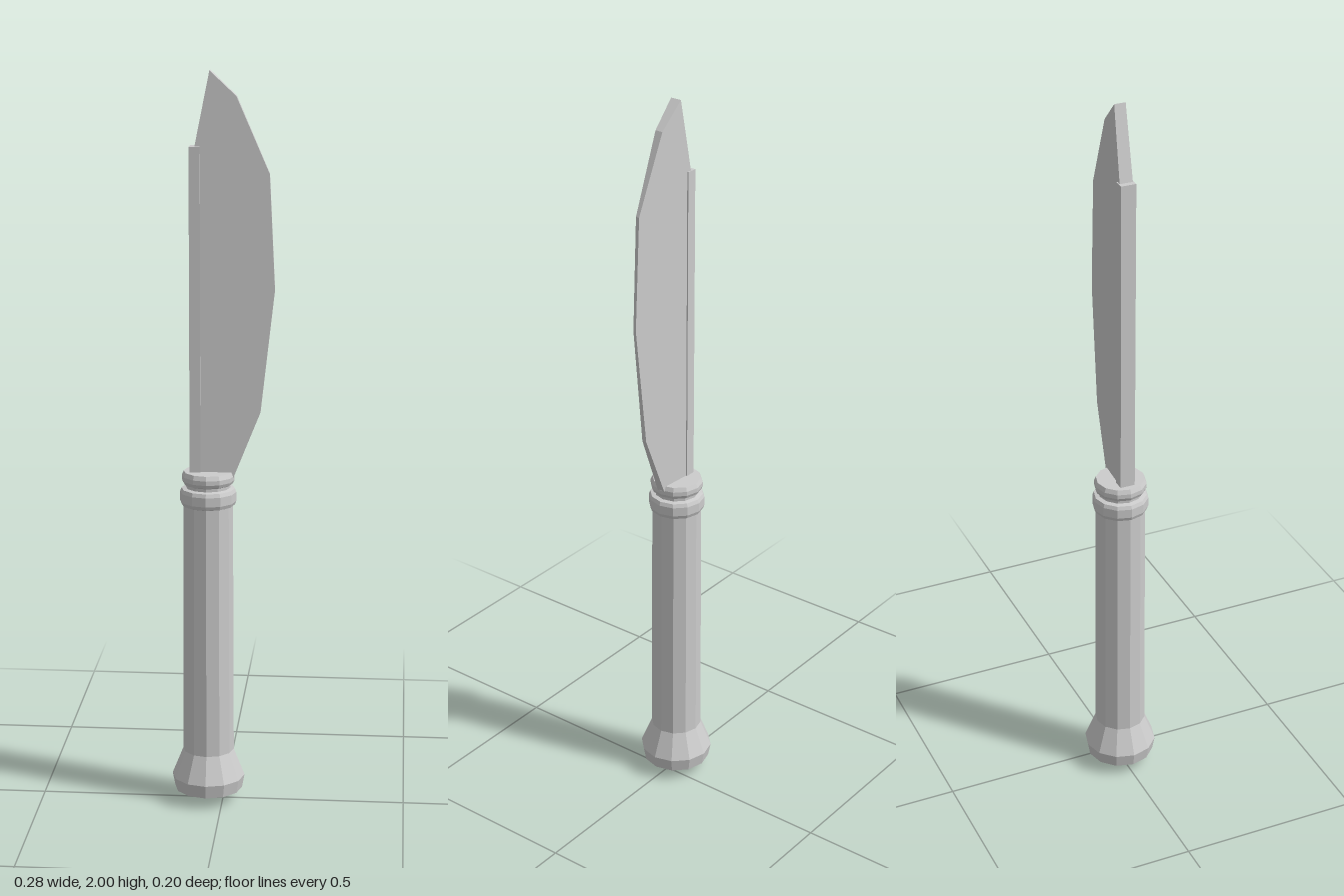
import * as THREE from 'three';

export function createModel() {
  const group = new THREE.Group();
  group.name = 'tableKnife';
  const steel = new THREE.MeshStandardMaterial({ color: 0xcccccc, flatShading: true });
  steel.name = 'steel';
  const axisX = -0.04;

  const add = (name, geometry, x = 0, y = 0) => {
    const mesh = new THREE.Mesh(geometry, steel);
    mesh.name = name;
    mesh.position.set(x, y, 0);
    group.add(mesh);
  };
  // Twelve-sided turned part from [radius, height] pairs, listed upward
  const turned = (name, profile) =>
    add(name, new THREE.LatheGeometry(profile.map(([r, y]) => new THREE.Vector2(r, y)), 12), axisX);

  // Handle with flared pommel and pointed base
  turned('pommel', [[0, 0], [0.093, 0.033], [0.1, 0.07], [0.07, 0.145]]);
  turned('grip', [[0.07, 0.145], [0.067, 0.85]]);

  // Two collar rings below the blade
  turned('lowerCollar', [[0.064, 0.842], [0.072, 0.845], [0.076, 0.855], [0.076, 0.88], [0.072, 0.89], [0.058, 0.893]]);
  turned('neck', [[0.06, 0.885], [0.06, 0.91]]);
  turned('upperCollar', [[0.058, 0.9], [0.067, 0.904], [0.071, 0.913], [0.071, 0.925], [0.066, 0.937], [0, 0.937]]);

  // Blade, tapering in thickness from spine to cutting edge
  const outline = [
    [-0.074, 0.92], [0.028, 0.92], [0.1, 1.1], [0.137, 1.43],
    [0.122, 1.735], [0.035, 1.935], [-0.034, 2], [-0.074, 1.8],
  ];
  const blade = new THREE.ExtrudeGeometry(
    new THREE.Shape(outline.map(([x, y]) => new THREE.Vector2(x, y))),
    { depth: 2, bevelEnabled: false });
  blade.translate(0, 0, -1);
  const p = blade.attributes.position;
  for (let i = 0; i < p.count; i++) {
    const t = (p.getX(i) + 0.074) / 0.211;
    p.setZ(i, p.getZ(i) * THREE.MathUtils.lerp(0.018, 0.004, t));
  }
  blade.computeVertexNormals();
  add('blade', blade);

  // Thick spine along the back of the blade
  add('spine', new THREE.BoxGeometry(0.029, 0.885, 0.041), -0.0735, 1.3625);

  return group;
}
